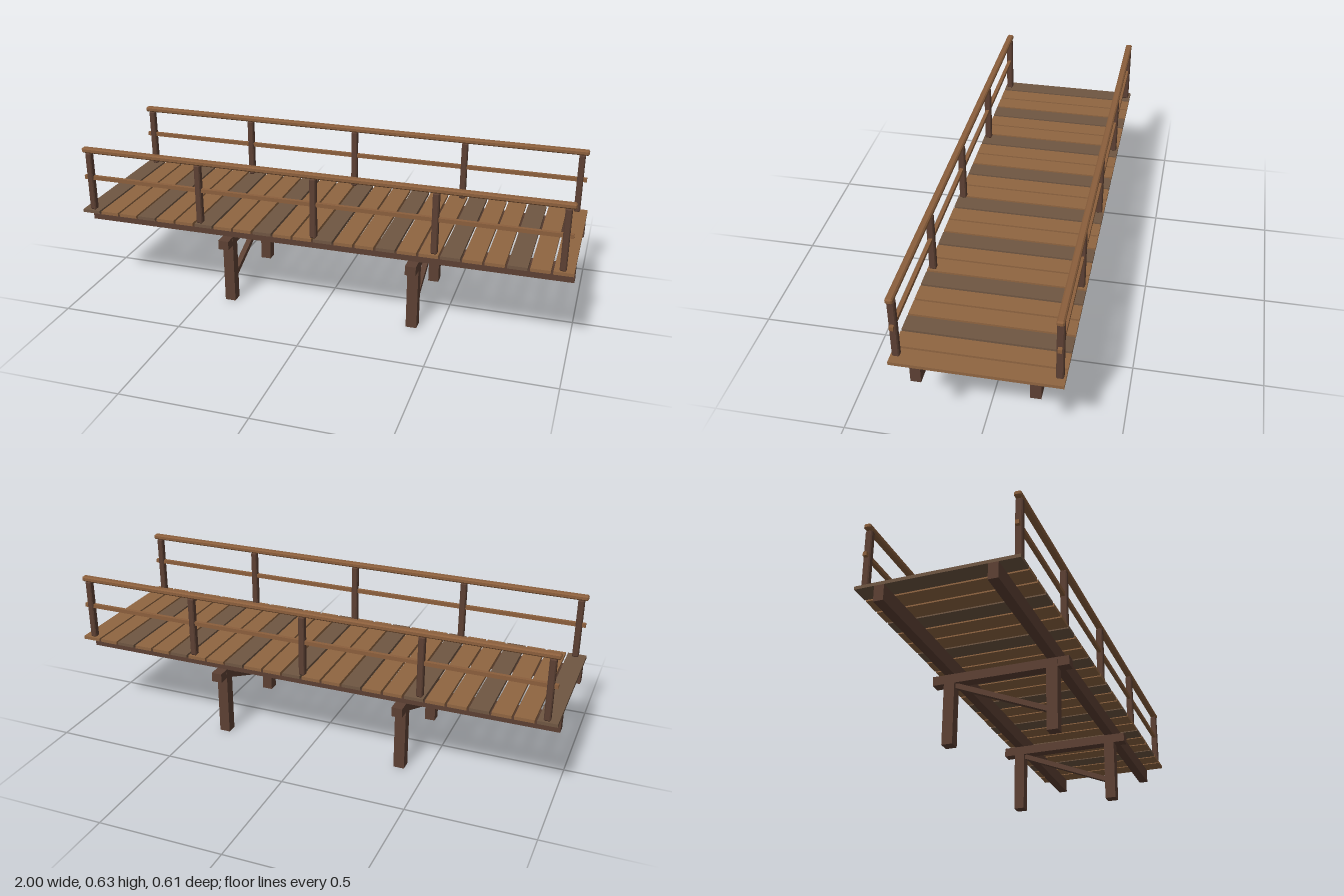
import * as THREE from 'three';
import { ConvexGeometry } from 'three/addons/geometries/ConvexGeometry.js';

const material = (color) => new THREE.MeshStandardMaterial({ color, flatShading: true });

// Box with every edge chamfered by c
function chamferedBox(w, h, d, c) {
  const points = [];
  for (const x of [-1, 1]) for (const y of [-1, 1]) for (const z of [-1, 1]) {
    for (let axis = 0; axis < 3; axis++) {
      const inset = [c, c, c];
      inset[axis] = 0;
      points.push(new THREE.Vector3(
        x * (w / 2 - inset[0]), y * (h / 2 - inset[1]), z * (d / 2 - inset[2])));
    }
  }
  return new ConvexGeometry(points);
}

export function createModel() {
  const bridge = new THREE.Group();
  bridge.name = 'footbridge';

  const timber = material(0x5c4033);
  const plankWood = material(0x8f6541);
  const wornWood = material(0x6f5642);
  const railWood = material(0x8b5f3c);

  function add(parent, name, geometry, mat, x, y, z) {
    const mesh = new THREE.Mesh(geometry, mat);
    mesh.name = name;
    mesh.position.set(x, y, z);
    parent.add(mesh);
    return mesh;
  }
  function group(name) {
    const g = new THREE.Group();
    g.name = name;
    bridge.add(g);
    return g;
  }

  // Deck planks, every third one weathered
  const deck = group('deck');
  const count = 24, plankWidth = 0.075, pitch = (2 - plankWidth) / (count - 1);
  const plank = new THREE.BoxGeometry(plankWidth, 0.013, 0.61);
  for (let i = 0; i < count; i++) {
    add(deck, 'plank', plank, i % 3 ? plankWood : wornWood,
      -1 + plankWidth / 2 + i * pitch, 0.3605, 0);
  }

  // Long beams under the deck
  const beams = group('beams');
  const stringer = new THREE.BoxGeometry(2, 0.062, 0.038);
  for (const side of [-1, 1]) add(beams, 'stringer', stringer, timber, 0, 0.323, side * 0.209);

  // Two trestles: a pair of posts, a cap beam and a diagonal brace
  const post = new THREE.BoxGeometry(0.044, 0.292, 0.044);
  const cap = new THREE.BoxGeometry(0.043, 0.038, 0.556);
  const rise = 0.17, run = 0.412;
  const brace = new THREE.BoxGeometry(0.022, 0.021, Math.hypot(rise, run));
  for (const x of [-0.388, 0.388]) {
    const trestle = group('trestle');
    for (const side of [-1, 1]) add(trestle, 'supportPost', post, timber, x, 0.146, side * 0.209);
    add(trestle, 'capBeam', cap, timber, x, 0.273, 0);
    add(trestle, 'brace', brace, timber, x, 0.17, 0).rotation.x = Math.atan2(rise, run);
  }

  // Railings on both sides
  const railPost = chamferedBox(0.025, 0.247, 0.027, 0.004);
  const handrail = chamferedBox(1.97, 0.021, 0.027, 0.005);
  const midRail = new THREE.BoxGeometry(1.97, 0.016, 0.015);
  for (const side of [-1, 1]) {
    const railing = group(side > 0 ? 'frontRailing' : 'backRailing');
    const z = side * 0.2845;
    for (let i = -2; i <= 2; i++) add(railing, 'railPost', railPost, timber, i * 0.479, 0.4905, z);
    add(railing, 'handrail', handrail, railWood, 0, 0.6245, z);
    add(railing, 'midRail', midRail, railWood, 0, 0.507, z);
  }

  return bridge;
}
